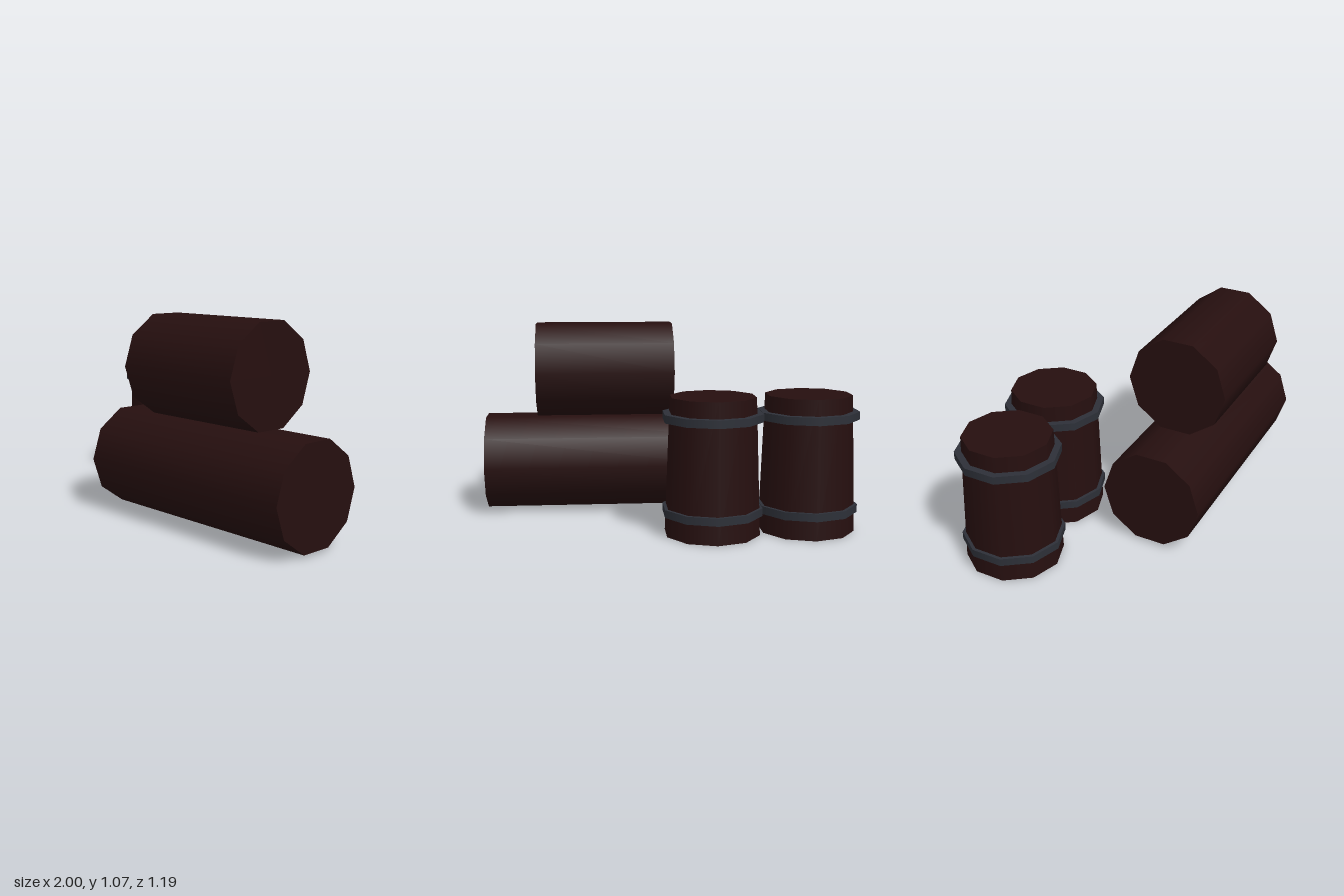
import * as THREE from 'three';

const SIDES = 10;
const wood = new THREE.MeshStandardMaterial({ color: 0x260f0f });
wood.name = 'darkWood';
const iron = new THREE.MeshStandardMaterial({ color: 0x2d3038 });
iron.name = 'ironBand';

function cylinder(name, rTop, rBottom, height, material) {
  const mesh = new THREE.Mesh(new THREE.CylinderGeometry(rTop, rBottom, height, SIDES), material);
  mesh.name = name;
  return mesh;
}

// Upright tapered barrel with two straight hoops
function barrel(name, x, z) {
  const group = new THREE.Group();
  group.name = name;
  const body = cylinder('barrelBody', 0.23, 0.257, 0.73, wood);
  body.position.y = 0.365;
  group.add(body);
  for (const [hoopName, y] of [['lowerHoop', 0.126], ['upperHoop', 0.624]]) {
    const hoop = cylinder(hoopName, 0.269, 0.269, 0.042, iron);
    hoop.position.y = y;
    group.add(hoop);
  }
  group.position.set(x, 0, z);
  return group;
}

// Log lying along x
function log(name, x0, x1, y) {
  const mesh = cylinder(name, 0.274, 0.274, x1 - x0, wood);
  mesh.rotation.z = -Math.PI / 2;
  mesh.position.set((x0 + x1) / 2, y, 0.321);
  return mesh;
}

export function createModel() {
  const model = new THREE.Group();
  model.name = 'barrelsAndLogs';
  model.add(
    barrel('rightBarrel', -0.744, -0.284),
    barrel('leftBarrel', -0.23, -0.327),
    log('lowerLog', -0.358, 1, 0.277),
    log('upperLog', -0.065, 0.706, 0.808)
  );
  return model;
}
